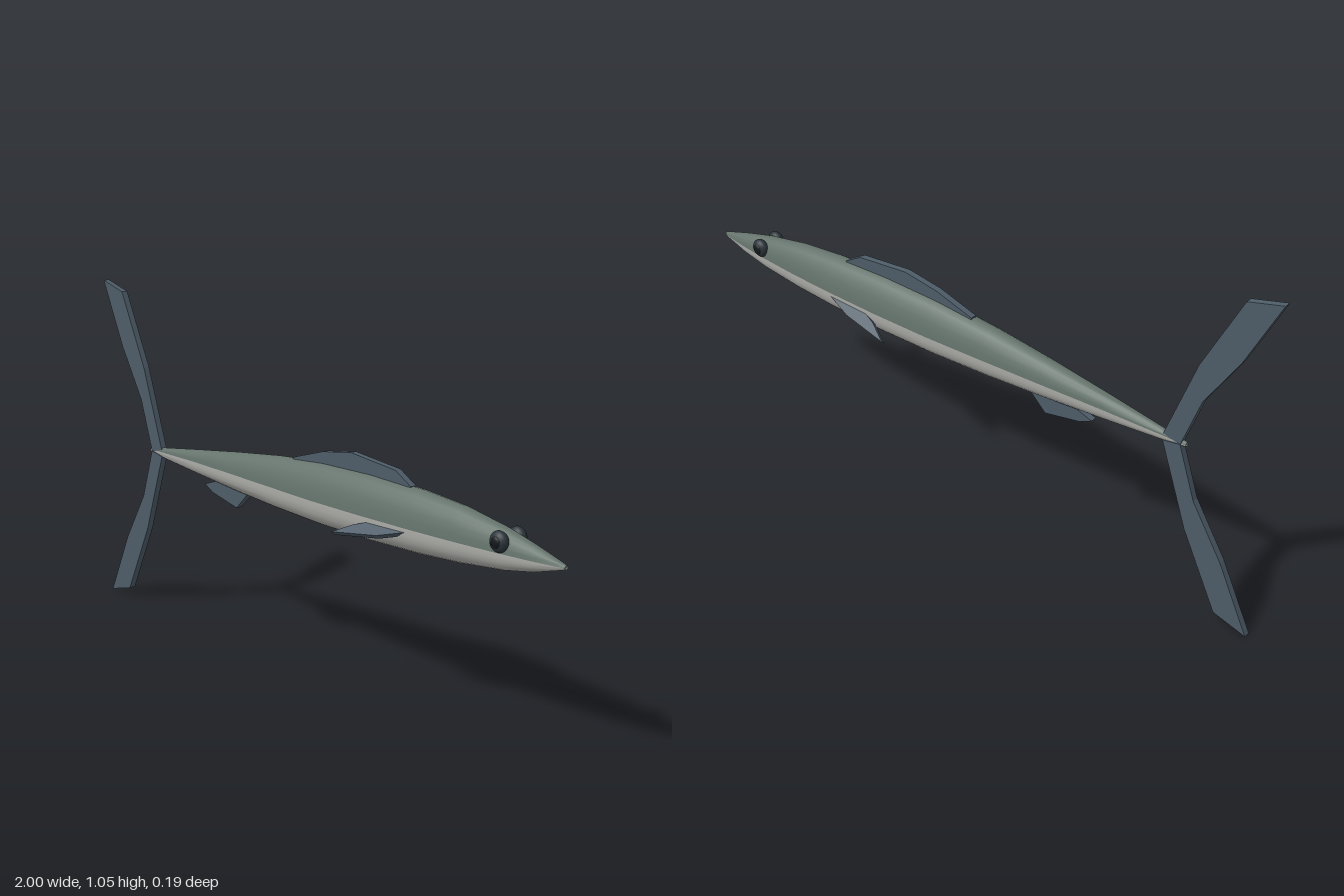
import * as THREE from 'three';
import { toCreasedNormals } from 'three/addons/utils/BufferGeometryUtils.js';

const mat = (name, color) => {
  const m = new THREE.MeshStandardMaterial({ color });
  m.name = name;
  return m;
};

// Body stations: x, seam height, top, bottom, half width
const STATIONS = [
  [-0.76, 0.532, 0.539, 0.525, 0.006],
  [-0.7, 0.535, 0.547, 0.516, 0.011],
  [-0.5, 0.541, 0.575, 0.498, 0.027],
  [-0.3, 0.543, 0.602, 0.482, 0.041],
  [-0.1, 0.542, 0.626, 0.469, 0.051],
  [0.1, 0.54, 0.642, 0.461, 0.058],
  [0.3, 0.54, 0.646, 0.459, 0.06],
  [0.5, 0.54, 0.639, 0.464, 0.056],
  [0.65, 0.54, 0.626, 0.473, 0.049],
  [0.8, 0.54, 0.6, 0.488, 0.037],
  [0.9, 0.54, 0.575, 0.506, 0.025],
  [0.98, 0.54, 0.552, 0.529, 0.012],
  [1.0, 0.54, 0.546, 0.535, 0.006],
];

// Lofts one half of the body: upper (back) or lower (belly), with closed ends
function bodyHalf(upper) {
  const n = 12, pos = [], index = [];
  const first = STATIONS[0], last = STATIONS[STATIONS.length - 1];
  const flat = ([x, y]) => [x, y, y, y, 0];
  const rows = [flat(first), ...STATIONS, flat(last)];
  rows.forEach(([x, y, top, bottom, w], i) => {
    for (let j = 0; j <= n; j++) {
      const a = (j / n + (upper ? 0 : 1)) * Math.PI;
      pos.push(x, y + Math.sin(a) * (upper ? top - y : y - bottom), w * Math.cos(a));
      if (i < rows.length - 1 && j < n) {
        const p = i * (n + 1) + j, q = p + n + 1;
        index.push(p, q, q + 1, p, q + 1, p + 1);
      }
    }
  });
  const g = new THREE.BufferGeometry();
  g.setAttribute('position', new THREE.Float32BufferAttribute(pos, 3));
  g.setIndex(index);
  return toCreasedNormals(g, 0.6);
}

// Flat fin plate from an outline, centred on its own plane
function finPlate(points, depth = 0.02) {
  const shape = new THREE.Shape(points.map(([x, y]) => new THREE.Vector2(x, y)));
  return new THREE.ExtrudeGeometry(shape, { depth, bevelEnabled: false })
    .translate(0, 0, -depth / 2);
}

export function createModel() {
  const model = new THREE.Group();
  model.name = 'fish';
  const back = mat('greenGreyBack', 0x65736c);
  const belly = mat('paleGreyBelly', 0xb4b4b0);
  const fin = mat('slateFin', 0x4e5d69);
  const eye = mat('darkEye', 0x2b353b);
  const pupil = mat('blackPupil', 0x14181b);
  const add = (name, geometry, material, parent = model) => {
    const mesh = new THREE.Mesh(geometry, material);
    mesh.name = name;
    parent.add(mesh);
    return mesh;
  };

  add('back', bodyHalf(true), back);
  add('belly', bodyHalf(false), belly);

  // Forked tail, mirrored about the body axis
  const lobe = [[-0.745, 0], [-0.69, 0.01], [-0.78, 0.265], [-0.895, 0.497],
    [-1, 0.525], [-0.9, 0.32], [-0.8, 0.16]];
  for (const s of [1, -1]) {
    const outline = lobe.map(([x, y]) => [x, 0.53 + s * y]);
    add(s > 0 ? 'upperTailLobe' : 'lowerTailLobe', finPlate(outline), fin);
  }

  // Fins on the centre line
  add('dorsalFin', finPlate([[-0.03, 0.62], [0.46, 0.62], [0.46, 0.641], [0.4, 0.675],
    [0.22, 0.692], [0.1, 0.674], [-0.03, 0.635]]), fin);
  add('analFin', finPlate([[-0.46, 0.475], [-0.42, 0.455], [-0.3, 0.43], [-0.25, 0.478],
    [-0.26, 0.495], [-0.4, 0.495]]), fin);

  // Paired fins and eyes
  for (const s of [1, -1]) {
    const side = s > 0 ? 'right' : 'left';
    const pectoral = add(side + 'PectoralFin', finPlate([[0.5, 0], [0.4, 0.037],
      [0.24, 0.065], [0.3, 0.025], [0.36, 0]], 0.015), fin);
    pectoral.position.set(0, 0.527, s * 0.046);
    pectoral.rotation.x = s * Math.PI * 0.75;

    const socket = new THREE.Group();
    socket.name = side + 'Eye';
    socket.position.set(0.807, 0.57, s * 0.033);
    model.add(socket);
    add('eyeball', new THREE.SphereGeometry(0.029, 20, 14), eye, socket).scale.z = 0.65;
    const dot = add('pupil', new THREE.SphereGeometry(0.016, 16, 10), pupil, socket);
    dot.scale.z = 0.4;
    dot.position.z = s * 0.0145;
  }
  return model;
}
